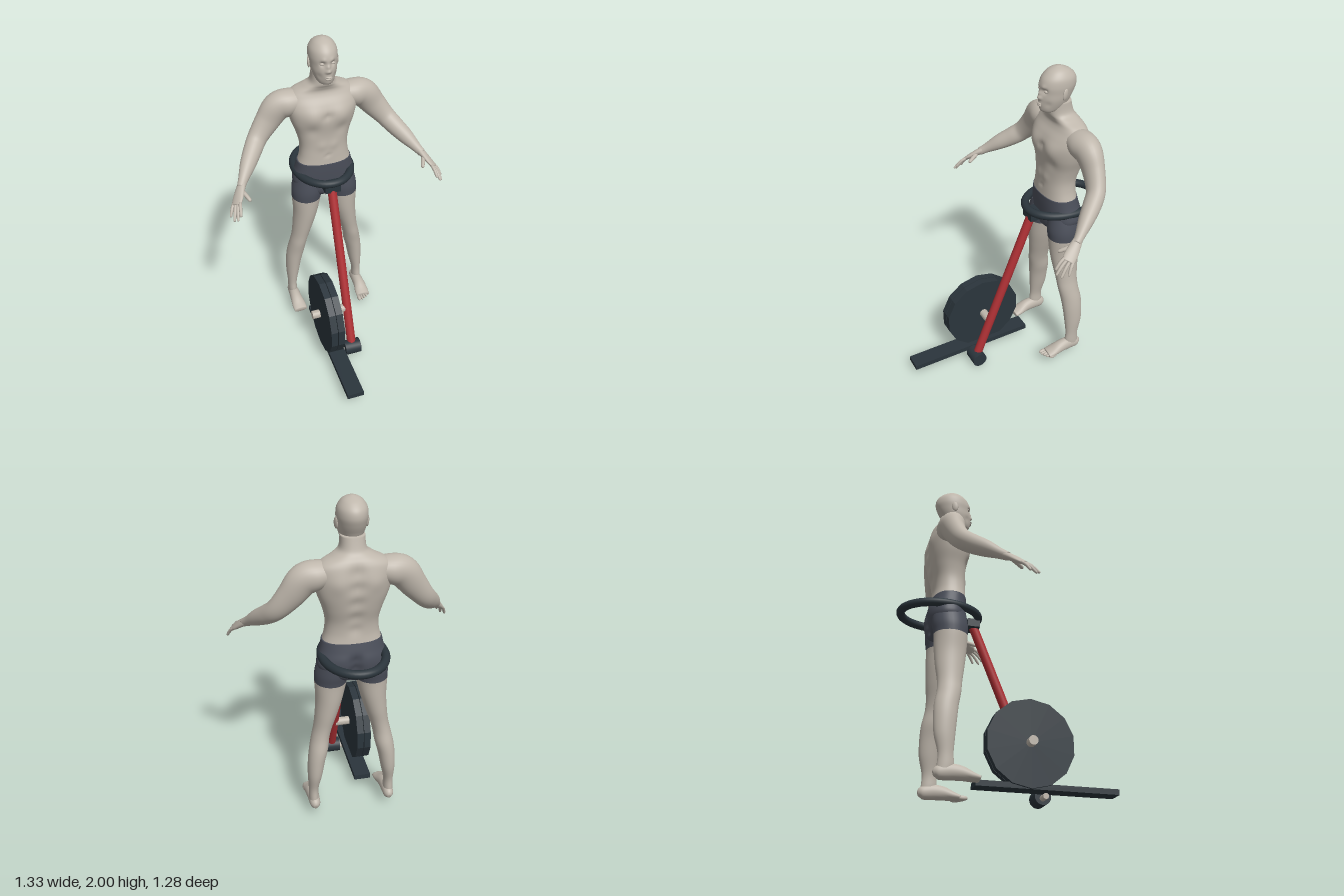
import * as THREE from 'three';
import { toCreasedNormals } from 'three/addons/utils/BufferGeometryUtils.js';

const V = (x, y, z) => new THREE.Vector3(x, y, z);

// Smooth skin through elliptical sections [x, y, z, ru, rv]; with no ref the rings stay
// horizontal (listed bottom to top), otherwise they stand square to the path.
function loft(sections, { ref = null, seg = 32, sub = 6, power = 1, split = null } = {}) {
  const n = sections.length, rows = [];
  for (let i = 0; i <= (n - 1) * sub; i++) {
    const k = Math.min(Math.floor(i / sub), n - 2), t = i / sub - k;
    const [a, b, c, d] = [k - 1, k, k + 1, k + 2].map(q => sections[THREE.MathUtils.clamp(q, 0, n - 1)]);
    rows.push(b.map((_, m) => 0.5 * (2 * b[m] + (c[m] - a[m]) * t
      + (2 * a[m] - 5 * b[m] + 4 * c[m] - d[m]) * t * t + (3 * b[m] - a[m] - 3 * c[m] + d[m]) * t ** 3)));
  }
  const centre = rows.map(r => V(r[0], r[1], r[2])), pos = [], idx = [], last = rows.length - 1;
  const pw = c => Math.sign(c) * Math.abs(c) ** power;
  rows.forEach((r, i) => {
    let u = V(1, 0, 0), v = V(0, 0, -1);
    if (ref) {
      const T = centre[Math.min(i + 1, last)].clone().sub(centre[Math.max(i - 1, 0)]).normalize();
      u = ref.clone().cross(T).normalize();
      v = T.clone().cross(u);
    }
    for (let j = 0; j < seg; j++) {
      const a = j / seg * Math.PI * 2;
      const p = centre[i].clone().addScaledVector(u, pw(Math.cos(a)) * Math.max(r[3], 0.001))
        .addScaledVector(v, pw(Math.sin(a)) * Math.max(r[4], 0.001));
      pos.push(p.x, p.y, p.z);
    }
  });
  const bottom = rows.length * seg, top = bottom + 1;
  pos.push(...centre[0].toArray(), ...centre[last].toArray());
  for (let j = 0; j < seg; j++) idx.push(bottom, (j + 1) % seg, j);
  let cut = 0;
  for (let i = 0; i < last; i++) {
    if (split !== null && i === split * sub) cut = idx.length;
    for (let j = 0; j < seg; j++) {
      const a = i * seg + j, b = i * seg + (j + 1) % seg;
      idx.push(a, b, b + seg, a, b + seg, a + seg);
    }
  }
  for (let j = 0; j < seg; j++) idx.push(top, last * seg + j, last * seg + (j + 1) % seg);
  const g = new THREE.BufferGeometry();
  g.setAttribute('position', new THREE.Float32BufferAttribute(pos, 3));
  g.setIndex(idx);
  if (split !== null) { g.addGroup(0, cut, 0); g.addGroup(cut, idx.length - cut, 1); }
  g.computeVertexNormals();
  return g;
}

// Push the surface along z around points [x, y, z, radius, dz], on both sides of the body
function sculpt(g, bumps) {
  const p = g.attributes.position;
  for (let i = 0; i < p.count; i++) {
    let dz = 0;
    for (const [x, y, z, r, d] of bumps) {
      const q = (Math.abs(p.getX(i)) - x) ** 2 + (p.getY(i) - y) ** 2 + (p.getZ(i) - z) ** 2;
      dz += d * Math.exp(-q / (r * r));
    }
    p.setZ(i, p.getZ(i) + dz);
  }
  g.computeVertexNormals();
  return g;
}

// [height, half width, front z, back z] to a loft section
const slab = ([y, w, f, b]) => [0, y, (f + b) / 2, w, (f - b) / 2];

export function createModel() {
  const model = new THREE.Group();
  const mat = (name, color) => Object.assign(new THREE.MeshStandardMaterial({ color }), { name });
  const skin = mat('pale skin', 0xbfb7ac), cloth = mat('slate cloth', 0x4a4e59);
  const dark = mat('dark rubber', 0x2b353c), red = mat('red paint', 0xad3034);
  const add = (name, geo, material, parent = model) => {
    const m = new THREE.Mesh(geo, material);
    m.name = name;
    parent.add(m);
    return m;
  };
  const ball = (name, p, r, parent) => {
    const m = add(name, new THREE.SphereGeometry(1, 20, 14), skin, parent);
    m.position.set(...p);
    m.scale.set(...r);
    return m;
  };

  // Torso and neck
  const torso = loft([[1.19, .168, -.232, -.437], [1.25, .153, -.235, -.43], [1.32, .15, -.238, -.435],
    [1.4, .168, -.236, -.455], [1.48, .196, -.227, -.47], [1.55, .212, -.23, -.475], [1.6, .215, -.248, -.473],
    [1.645, .205, -.275, -.464], [1.675, .17, -.285, -.452], [1.7, .115, -.278, -.436],
    [1.73, .074, -.266, -.418], [1.8, .066, -.27, -.4]].map(slab), { seg: 64, power: .85 });
  add('torso', sculpt(torso, [[.09, 1.53, -.23, .06, .014], [0, 1.53, -.23, .022, -.012], [.09, 1.44, -.235, .04, -.008],
    [.035, 1.33, -.235, .03, .006], [0, 1.26, -.235, .012, -.008], [0, 1.62, -.47, .04, .014], [0, 1.54, -.475, .04, .016],
    [0, 1.45, -.46, .04, .015], [0, 1.36, -.44, .04, .013], [0, 1.28, -.43, .035, .01], [.1, 1.56, -.47, .05, -.008]]), skin);

  // Head with a sculpted face
  const head = loft([[1.742, .025, -.235, -.28], [1.752, .045, -.222, -.32], [1.78, .061, -.211, -.375],
    [1.82, .074, -.207, -.4], [1.86, .08, -.209, -.42], [1.9, .084, -.209, -.432], [1.94, .079, -.222, -.425],
    [1.972, .06, -.25, -.395], [1.99, .037, -.28, -.36], [2, .008, -.31, -.33]].map(slab), { seg: 72, sub: 8 });
  add('head', sculpt(head, [[.031, 1.878, -.215, .017, -.014], [0, 1.838, -.2, .014, .02], [0, 1.862, -.205, .012, .012],
    [.012, 1.832, -.205, .009, .005], [0, 1.795, -.205, .018, .007], [0, 1.76, -.22, .02, .006],
    [.028, 1.9, -.21, .014, .006], [.05, 1.8, -.23, .02, -.006]]), skin);
  ball('upperLip', [0, 1.8, -.203], [.022, .005, .007]);
  ball('lowerLip', [0, 1.789, -.204], [.019, .006, .007]);

  // Shorts seat
  const seat = loft([[.945, .05, -.28, -.4], [.97, .11, -.25, -.435], [1.0, .17, -.238, -.452], [1.05, .2, -.235, -.463],
    [1.1, .195, -.232, -.463], [1.15, .181, -.23, -.45], [1.2, .17, -.23, -.437]].map(slab), { seg: 64, power: .85 });
  add('shortsSeat', sculpt(seat, [[0, 1.0, -.46, .03, .03], [0, 1.05, -.463, .03, .028], [0, 1.1, -.463, .03, .02]]), cloth);

  for (const s of [1, -1]) {
    const flip = list => list.map(([x, ...r]) => [x * s, ...r]);
    const side = new THREE.Group();
    side.name = s > 0 ? 'leftLimbs' : 'rightLimbs';
    model.add(side);
    const digit = (name, a, b, r, lift) => {
      const mid = a.map((q, i) => (q + b[i]) / 2 + (i === 1 ? lift : 0));
      const tip = a.map((q, i) => q + (b[i] - q) * .92);
      add(name, loft(flip([[...a, r, r], [...mid, r, r], [...tip, r * .8, r * .8], [...b, r * .2, r * .2]]),
        { ref: V(.58 * s, .76, .11), seg: 10, sub: 3 }), skin, side);
    };

    ball('eyelid', [.031 * s, 1.876, -.228], [.014, .008, .011], side);
    ball('ear', [.083 * s, 1.858, -.322], [.009, .034, .02], side).rotation.set(-.15, .3 * s, 0);

    // Arm
    add('arm', loft(flip([[.12, 1.605, -.365, .06, .07], [.2, 1.597, -.368, .082, .085], [.27, 1.575, -.37, .088, .075],
      [.335, 1.495, -.365, .077, .06], [.405, 1.41, -.34, .062, .053], [.45, 1.36, -.29, .057, .052],
      [.5, 1.31, -.22, .048, .044], [.545, 1.262, -.155, .031, .029], [.57, 1.235, -.115, .025, .024]]),
      { ref: V(0, 0, s) }), skin, side);

    // Hand
    add('palm', loft(flip([[.553, 1.252, -.142, .024, .024], [.578, 1.227, -.103, .032, .02],
      [.603, 1.197, -.062, .038, .016], [.622, 1.176, -.032, .034, .01]]), { ref: V(.58 * s, .76, .11), seg: 24 }), skin, side);
    [[.612, 1.14, .04], [.632, 1.12, .047], [.65, 1.106, .026], [.663, 1.113, -.014]].forEach((tip, i) => {
      const t = (i - 1.5) * .018;
      digit('finger', [.615 + .6 * t, 1.183 - .36 * t, -.043 - .65 * t], tip, .0095, .008);
    });
    digit('thumb', [.573, 1.225, -.1], [.537, 1.193, -.02], .013, .002);

    // Leg, with the shorts on its upper end
    add('leg', loft(flip([[.235, .08, -.372, .027, .04], [.235, .13, -.362, .029, .046], [.234, .2, -.363, .03, .043],
      [.226, .3, -.37, .043, .058], [.215, .4, -.367, .051, .065], [.2, .48, -.36, .056, .068],
      [.185, .56, -.345, .054, .068], [.168, .63, -.34, .056, .071], [.148, .72, -.338, .066, .083],
      [.13, .82, -.335, .078, .093], [.12, .93, -.333, .093, .099], [.112, 1.0, -.337, .098, .106],
      [.1, 1.1, -.345, .085, .1]]), { split: 10 }), [skin, cloth], side);

    // Foot
    add('foot', loft(flip([[.232, .085, -.424, .012, .015], [.232, .092, -.4, .03, .037], [.232, .1, -.34, .035, .044],
      [.233, .097, -.28, .039, .04], [.23, .082, -.22, .046, .026], [.228, .074, -.18, .044, .017]]),
      { ref: V(0, 1, 0), seg: 24 }), skin, side);
    [-.14, -.142, -.15, -.16, -.175].forEach((z, i) => {
      const x = .194 + i * .0185;
      ball('toe', [x, .069, z - .028], [i ? .009 : .013, i ? .012 : .014, .028], side);
    });
  }

  // Waist ring: a round tube bent to an oval
  const oval = new THREE.CatmullRomCurve3(Array.from({ length: 24 }, (_, i) => {
    const a = i / 24 * Math.PI * 2;
    return V(Math.cos(a) * .177, 1.11, -.38 + Math.sin(a) * .234);
  }), true);
  add('waistRing', new THREE.TubeGeometry(oval, 64, .025, 14, true), dark);
  const bracket = add('ringBracket', new THREE.BoxGeometry(.1, .05, .075), dark);
  bracket.position.set(0, 1.07, -.178);

  // Slanted pole
  const low = V(0, .07, .224), high = V(0, 1.07, -.175);
  const pole = add('pole', new THREE.CylinderGeometry(.028, .028, low.distanceTo(high), 24), red);
  pole.position.copy(low).lerp(high, .5);
  pole.quaternion.setFromUnitVectors(V(0, 1, 0), high.clone().sub(low).normalize());

  // Crosswise cylinders: hub, pins and the twin faceted wheels
  const across = (name, x0, x1, y, z, r, n, material) => {
    const g = new THREE.CylinderGeometry(r, r, x1 - x0, n).rotateZ(Math.PI / 2);
    if (n === 14) g.rotateX(Math.PI / 2);
    const m = add(name, toCreasedNormals(g, .4), material);
    m.position.set((x0 + x1) / 2, y, z);
  };
  across('hub', -.052, .052, .049, .23, .048, 24, dark);
  across('hubPin', -.115, -.05, .037, .227, .017, 20, skin);
  across('axle', -.235, -.005, .31, .123, .027, 20, skin);
  across('outerWheel', -.185, -.143, .31, .125, .255, 14, dark);
  across('innerWheel', -.139, -.097, .31, .125, .255, 14, dark);

  // Footboard
  add('board', new THREE.BoxGeometry(.104, .032, .823), dark).position.set(-.118, .071, .2265);
  return model;
}
